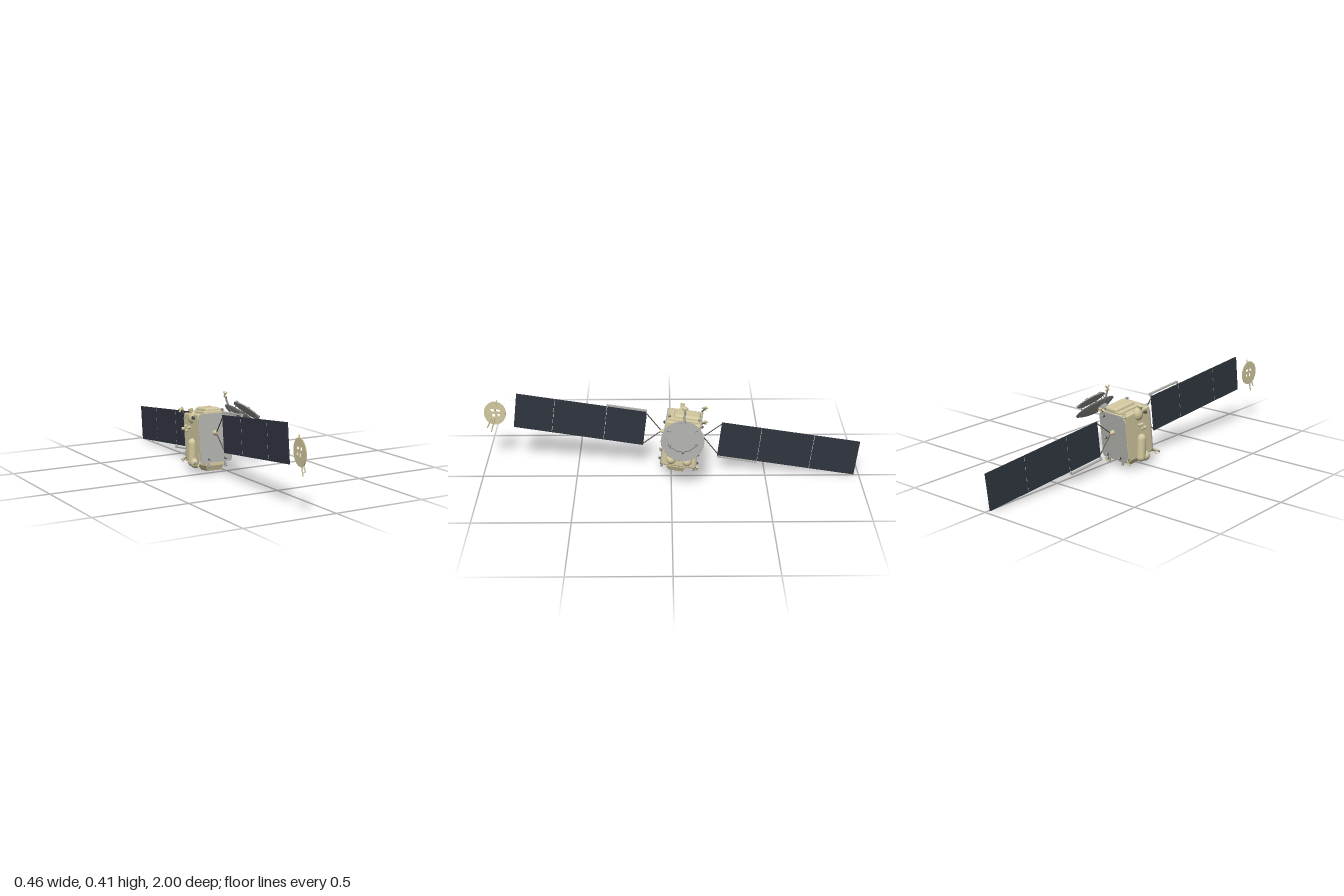
import * as THREE from 'three';
import { RoundedBoxGeometry } from 'three/addons/geometries/RoundedBoxGeometry.js';

const V = (x, y, z) => new THREE.Vector3(x, y, z);
const UP = V(0, 1, 0);

function mat(name, color) {
  const m = new THREE.MeshStandardMaterial({ color });
  m.name = name;
  return m;
}

export function createModel() {
  const foil = mat('beige foil', 0xd3c89f);
  const grey = mat('light grey', 0xb1b1ac);
  const metal = mat('mid grey', 0x999997);
  const dark = mat('dark metal', 0x55534c);
  const cells = mat('solar cells', 0x30353f);

  const root = new THREE.Group();
  root.name = 'satellite';

  function add(parent, name, geo, m, x = 0, y = 0, z = 0) {
    const mesh = new THREE.Mesh(geo, m);
    mesh.name = name;
    mesh.position.set(x, y, z);
    parent.add(mesh);
    return mesh;
  }
  const box = (p, n, m, w, h, d, x, y, z) => add(p, n, new THREE.BoxGeometry(w, h, d), m, x, y, z);
  const ball = (p, n, m, r, x, y, z) => add(p, n, new THREE.SphereGeometry(r, 18, 12), m, x, y, z);
  // Cylinder or cone between two points
  function rod(p, n, m, a, b, r0, r1 = r0, seg = 12) {
    const d = b.clone().sub(a);
    const mesh = add(p, n, new THREE.CylinderGeometry(r1, r0, d.length(), seg), m);
    mesh.position.copy(a).addScaledVector(d, 0.5);
    mesh.quaternion.setFromUnitVectors(UP, d.normalize());
    return mesh;
  }

  // Craft frame, its z axis follows the tilted solar wing axis
  const craft = new THREE.Group();
  craft.name = 'craft';
  const az = V(-0.0825, 0.12, 1).normalize();
  const ax = UP.clone().cross(az).normalize();
  craft.quaternion.setFromRotationMatrix(new THREE.Matrix4().makeBasis(ax, az.clone().cross(ax), az));
  craft.position.set(-0.082, 0.207, -0.06);
  root.add(craft);

  // Main body with grey end plates
  add(craft, 'body', new RoundedBoxGeometry(0.182, 0.255, 0.186, 2, 0.008), foil, 0, -0.025, 0);
  const plate = new THREE.Shape();
  [[-0.086, -0.128], [0.084, -0.128], [0.09, -0.115], [0.09, 0.1], [0.08, 0.127], [-0.08, 0.127], [-0.09, 0.1], [-0.09, -0.12]]
    .forEach(([x, y], i) => (i ? plate.lineTo(x, y) : plate.moveTo(x, y)));
  const plateGeo = new THREE.ExtrudeGeometry(plate, { depth: 0.006, bevelEnabled: false });
  add(craft, 'frontPlate', plateGeo, grey, 0, -0.025, 0.09);
  add(craft, 'backPlate', plateGeo, grey, 0, -0.025, -0.096);

  // Raised roof box and stepped underside
  add(craft, 'roofBox', new RoundedBoxGeometry(0.085, 0.04, 0.14, 3, 0.014), foil, 0.015, 0.11, -0.015);
  add(craft, 'roofDeck', new RoundedBoxGeometry(0.12, 0.016, 0.165, 2, 0.005), foil, 0.01, 0.105, 0);
  box(craft, 'baseBlock', foil, 0.11, 0.025, 0.12, 0.005, -0.16, 0.01);
  const frustum = new THREE.CylinderGeometry(0.075, 0.055, 0.03, 4, 1);
  frustum.rotateY(Math.PI / 4);
  const nozzle = add(craft, 'baseNozzle', frustum.toNonIndexed(), foil, 0.005, -0.186, 0.01);
  nozzle.geometry.computeVertexNormals();

  // Domes on the left side
  for (const z of [-0.045, 0.04]) {
    ball(craft, 'lowerDome', foil, 0.025, 0.095, -0.112, z);
    const d = ball(craft, 'upperDome', foil, 0.022, 0.09, 0.055, z * 1.5);
    d.scale.set(0.7, 1.2, 1);
  }
  add(craft, 'dishMount', new RoundedBoxGeometry(0.03, 0.05, 0.05, 2, 0.008), foil, 0.092, 0.065, 0);

  // Tank, pods and horns on the right side
  const tank = add(craft, 'tank', new THREE.CapsuleGeometry(0.025, 0.1, 6, 16), foil, -0.093, -0.1, 0.005);
  tank.rotation.x = 0.15;
  ball(craft, 'tankFoot', foil, 0.026, -0.092, -0.155, 0.03);
  ball(craft, 'upperPod', foil, 0.03, -0.085, 0.085, 0.01).scale.set(0.8, 1.2, 1);
  rod(craft, 'hornStem', foil, V(-0.09, 0.1, 0.02), V(-0.1, 0.13, 0.02), 0.008, 0.013);
  rod(craft, 'sideHorn', dark, V(-0.085, 0.08, 0.05), V(-0.105, 0.085, 0.05), 0.006, 0.009);
  rod(craft, 'sideAntennaArm', foil, V(-0.085, 0.03, 0), V(-0.14, 0.028, 0), 0.006);
  [[-0.12, 0.04], [-0.12, 0.016], [-0.138, 0.028], [-0.105, 0.032]].forEach(([x, y]) => ball(craft, 'sideAntennaKnob', foil, 0.009, x, y, 0));

  // Thruster clusters at the corners
  function cluster(x, y, z, dx, dy, dz) {
    const c = new THREE.Group();
    c.name = 'thrusterCluster';
    c.position.set(x, y, z);
    craft.add(c);
    const tip = V(dx, dy, dz);
    rod(c, 'thrusterArm', dark, V(0, 0, 0), tip, 0.0035);
    for (const s of [-1, 1]) {
      rod(c, 'thrusterNozzle', foil, tip, tip.clone().add(V(s * 0.006, 0.002, 0.014 * s)), 0.003, 0.006, 10);
      rod(c, 'thrusterNozzle', foil, tip, tip.clone().add(V(s * 0.008, 0.012 * s, -0.003)), 0.003, 0.006, 10);
    }
  }
  cluster(-0.085, -0.14, 0.08, -0.015, -0.015, 0.02);
  cluster(-0.085, -0.13, -0.08, -0.015, -0.015, -0.02);
  cluster(-0.085, 0.09, -0.08, -0.015, 0.03, -0.022);
  cluster(0.06, 0.09, -0.085, 0.005, 0.025, -0.025);
  cluster(0.05, -0.145, -0.085, 0.005, -0.02, -0.015);
  rod(craft, 'sideBoom', metal, V(-0.08, -0.148, 0.09), V(-0.126, -0.148, 0.1), 0.003);
  ball(craft, 'boomTip', metal, 0.007, -0.126, -0.148, 0.1);

  // Studs and small nozzles on both end plates
  for (const s of [-1, 1]) {
    for (const [x, y] of [[-0.04, -0.135], [0.052, -0.135], [0.052, -0.04], [0.055, 0.08]]) {
      rod(craft, 'stud', dark, V(x, y, s * 0.094), V(x, y, s * 0.104), 0.007);
      ball(craft, 'studCap', grey, 0.005, x, y + 0.002, s * 0.105);
    }
    for (const x of [-0.04, 0.055]) {
      rod(craft, 'lowerNozzle', metal, V(x, -0.152, s * 0.08), V(x, -0.18, s * 0.088), 0.005, 0.007);
    }
    rod(craft, 'roofNozzle', metal, V(0.055, 0.1, s * 0.075), V(0.055, 0.122, s * 0.08), 0.005, 0.008);
  }

  // Solar wings: hub, yoke, three segments, edge rail
  const half = 0.0975;
  for (const s of [1, -1]) {
    const wing = new THREE.Group();
    wing.name = s > 0 ? 'frontWing' : 'backWing';
    craft.add(wing);
    rod(wing, 'hub', foil, V(0, 0, s * 0.09), V(0, 0, s * 0.118), 0.016, 0.008);
    for (const t of [-1, 1]) rod(wing, 'yokeRod', dark, V(0, 0, s * 0.112), V(0, t * 0.09, s * 0.203), 0.0028);
    const cuts = [0.2, 0.415, 0.695, s > 0 ? 0.9 : 0.935];
    for (let i = 0; i < 3; i++) {
      const a = cuts[i], b = cuts[i + 1] - (i < 2 ? 0.002 : 0);
      box(wing, 'solarPanel', cells, 0.005, half * 2, b - a, 0, 0, s * (a + b) / 2);
      if (i < 2) for (const y of [-0.08, -0.03, 0.03, 0.08]) {
        box(wing, 'hinge', grey, 0.0065, 0.018, 0.003, 0, y, s * (b + 0.001));
      }
    }
    const y = s * (half + 0.011);
    box(wing, 'edgeRail', grey, 0.014, 0.007, 0.215, s * 0.008, y, s * 0.308);
    for (const z of [0.203, 0.413]) box(wing, 'railEnd', grey, 0.01, 0.016, 0.005, s * 0.005, y - s * 0.006, s * z);
  }

  // Detached perforated disc beyond the front wing
  const disc = new THREE.Group();
  disc.name = 'farDisc';
  disc.position.set(0, -0.033, 1.007);
  disc.rotation.y = Math.PI / 2;
  craft.add(disc);
  const ring = new THREE.Shape().absellipse(0, 0, 0.059, 0.067, 0, Math.PI * 2);
  for (const [x, y, w, h] of [[-0.025, 0.008, 0.02, 0.014], [0.004, 0.012, 0.024, 0.012], [-0.012, -0.022, 0.014, 0.018], [0.014, -0.016, 0.014, 0.014]]) {
    const hole = new THREE.Path();
    hole.moveTo(x, y);
    hole.lineTo(x, y + h);
    hole.lineTo(x + w, y + h);
    hole.lineTo(x + w, y);
    ring.holes.push(hole);
  }
  add(disc, 'discPlate', new THREE.ExtrudeGeometry(ring, { depth: 0.005, bevelEnabled: false, curveSegments: 24 }), foil, 0, 0, -0.0025);
  rod(disc, 'discSpike', foil, V(0.0, -0.03, 0.003), V(-0.012, -0.112, 0.003), 0.004, 0.003);
  rod(disc, 'discSpike', foil, V(-0.015, -0.03, 0.003), V(-0.036, -0.092, 0.003), 0.004, 0.003);
  rod(disc, 'discSpike', foil, V(0.006, 0.05, 0.003), V(0.006, 0.08, 0.003), 0.004, 0.003);

  // Dish antenna facing up and outwards
  const dish = new THREE.Group();
  dish.name = 'dishAntenna';
  dish.position.set(0.132, 0.267, -0.058);
  dish.quaternion.setFromUnitVectors(UP, V(0.635, 0.775, 0).normalize());
  root.add(dish);
  const R = 0.112, profile = [];
  for (let i = 0; i <= 8; i++) profile.push(new THREE.Vector2(R * i / 8, -0.027 * (1 - (i / 8) ** 2)));
  for (let i = 8; i >= 0; i--) profile.push(new THREE.Vector2(R * i / 8, 0.003 - 0.018 * (1 - (i / 8) ** 2)));
  add(dish, 'dishBowl', new THREE.LatheGeometry(profile, 40), metal);
  add(dish, 'reflectorPlate', new THREE.CylinderGeometry(0.081, 0.081, 0.006, 16), metal, 0, 0.042, 0);
  for (let i = 0; i < 6; i++) {
    const a = i * Math.PI / 3, c = Math.cos(a), n = Math.sin(a);
    rod(dish, 'plateStrut', dark, V(c * 0.07, -0.008, n * 0.07), V(c * 0.07, 0.042, n * 0.07), 0.0018, 0.0018, 8);
    const clip = box(dish, 'plateClip', metal, 0.018, 0.01, 0.014, c * 0.076, 0.043, n * 0.076);
    clip.rotation.y = -a;
  }

  // Neck holding the dish
  rod(root, 'dishNeck', metal, V(0.005, 0.272, -0.058), V(0.05, 0.28, -0.058), 0.016, 0.018, 20);
  rod(root, 'dishNeckFlare', metal, V(0.048, 0.28, -0.058), V(0.08, 0.28, -0.058), 0.018, 0.028, 20);

  // Whip antenna above the neck
  const whip = new THREE.CatmullRomCurve3([V(0.068, 0.3, -0.065), V(0.052, 0.335, -0.068), V(0.04, 0.365, -0.07), V(0.032, 0.4, -0.072)]);
  add(root, 'whipAntenna', new THREE.TubeGeometry(whip, 16, 0.005, 8), metal);
  const tip = V(0.033, 0.395, -0.072);
  for (const [y, z] of [[0.012, 0.014], [0.012, -0.014], [-0.014, 0.01], [-0.014, -0.01]]) {
    rod(root, 'whipNozzle', foil, tip, tip.clone().add(V(0.001, y, z)), 0.003, 0.0055, 10);
  }
  return root;
}
